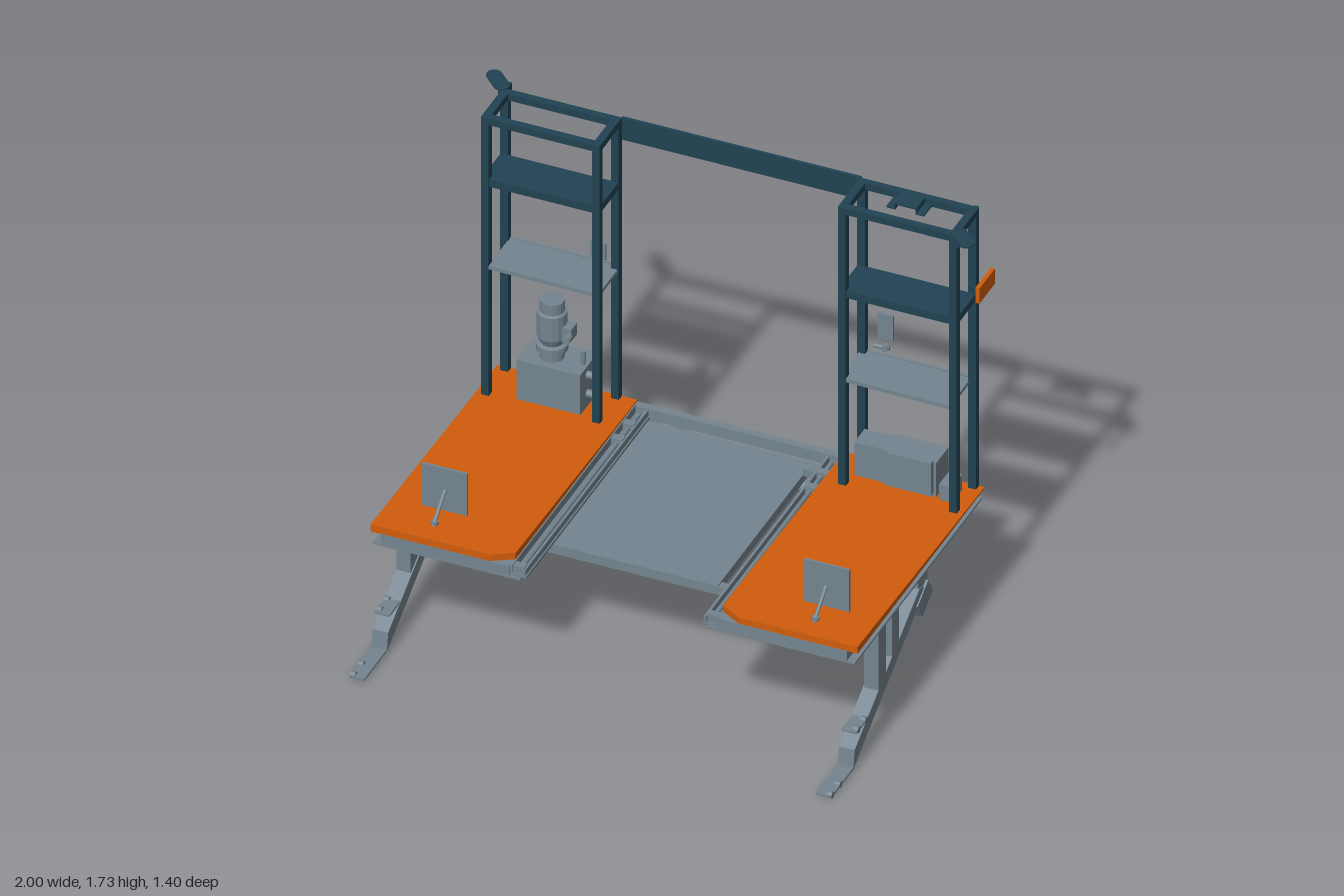
import * as THREE from 'three';

const mat = (name, color) => {
  const m = new THREE.MeshStandardMaterial({ color, side: THREE.DoubleSide });
  m.name = name;
  return m;
};

export function createModel() {
  const teal = mat('dark teal paint', 0x214252);
  const orange = mat('safety orange paint', 0xd05c0c);
  const steel = mat('grey steel', 0x74848f);
  const root = new THREE.Group();
  root.name = 'liftStation';

  const add = (name, geo, m, parent = root) => {
    const mesh = new THREE.Mesh(geo, m);
    mesh.name = name;
    parent.add(mesh);
    return mesh;
  };
  // box given by its limits on each axis
  const box = (name, m, x0, x1, y0, y1, z0, z1, parent = root) => {
    const b = add(name, new THREE.BoxGeometry(Math.abs(x1 - x0), y1 - y0, Math.abs(z1 - z0)), m, parent);
    b.position.set((x0 + x1) / 2, (y0 + y1) / 2, (z0 + z1) / 2);
    return b;
  };
  const cyl = (name, m, r, len, x, y, z, axis = 'y', parent = root) => {
    const c = add(name, new THREE.CylinderGeometry(r, r, len, 16), m, parent);
    c.position.set(x, y, z);
    if (axis === 'x') c.rotation.z = Math.PI / 2;
    if (axis === 'z') c.rotation.x = Math.PI / 2;
    return c;
  };
  // [z, y] outline pushed along x
  const sideProfile = (name, m, pts, x0, x1, parent = root) => {
    const shape = new THREE.Shape(pts.map(([z, y]) => new THREE.Vector2(-z, y)));
    const g = new THREE.ExtrudeGeometry(shape, { depth: x1 - x0, bevelEnabled: false });
    const p = add(name, g, m, parent);
    p.rotation.y = Math.PI / 2;
    p.position.x = x0;
    return p;
  };

  // central tray, frame and under-floor equipment
  box('centrePlate', steel, -0.36, 0.29, 0.445, 0.455, -0.6, 0.235);
  box('frontCrossBar', steel, -0.39, 0.39, 0.415, 0.45, 0.2, 0.233);
  box('rearCrossBar', steel, -0.39, 0.39, 0.415, 0.445, -0.6, -0.57);
  box('rearBeam', steel, -0.45, 0.45, 0.46, 0.505, -0.63, -0.6);
  box('trayEdge', steel, 0.27, 0.29, 0.42, 0.445, -0.6, 0.2);
  box('underFloorCabinet', steel, -0.345, -0.1, 0.32, 0.415, -0.545, 0.09);
  box('cabinetFlange', steel, -0.36, -0.08, 0.415, 0.445, -0.56, 0.16);
  cyl('driveMotor', steel, 0.025, 0.11, 0.25, 0.39, -0.54, 'x');
  box('driveGearbox', steel, 0.305, 0.355, 0.37, 0.415, -0.575, -0.505);
  cyl('driveShaft', steel, 0.014, 0.04, 0.365, 0.395, -0.54, 'x');
  box('driveTop', steel, 0.285, 0.34, 0.445, 0.475, -0.57, -0.52);

  for (const s of [-1, 1]) {
    const side = s < 0 ? 'right' : 'left';
    const half = new THREE.Group();
    half.name = side + 'Platform';
    root.add(half);
    const sb = (n, m, a, b, ...r) => box(n, m, s * a, s * b, ...r, half);

    // platform base and inner guide rail
    sb('platformFrame', steel, 0.405, 0.9, 0.465, 0.507, -0.63, 0.488);
    sb('bottomSheet', steel, 0.36, 0.93, 0.456, 0.464, -0.63, 0.488);
    sb('guideRailFloor', steel, 0.34, 0.405, 0.464, 0.475, -0.6, 0.48);
    sb('guideRailLip', steel, 0.345, 0.355, 0.475, 0.5, -0.6, 0.48);
    sb('guideRailWall', steel, 0.395, 0.405, 0.475, 0.507, -0.6, 0.48);
    cyl('guideRod', steel, 0.009, 1.04, s * 0.372, 0.488, -0.06, 'z', half);
    for (const z of [-0.5, -0.4, 0.46]) {
      sb('rodBearing', steel, 0.352, 0.394, 0.475, 0.505, z - 0.015, z + 0.015);
    }

    // orange deck: clipped inner front corner, rising toward the front
    const deckShape = new THREE.Shape([[0.4, 0.63], [0.94, 0.63], [0.94, -0.487], [0.48, -0.487], [0.4, -0.44]]
      .map(([x, y]) => new THREE.Vector2(s * x, y)));
    const deckGeo = new THREE.ExtrudeGeometry(deckShape, { depth: 0.03, bevelEnabled: false });
    deckGeo.rotateX(-Math.PI / 2);
    const p = deckGeo.attributes.position;
    for (let i = 0; i < p.count; i++) {
      const t = THREE.MathUtils.clamp((p.getZ(i) + 0.63) / 1.1, 0, 1);
      p.setY(i, p.getY(i) > 0.01 ? 0.511 + 0.024 * t : 0.506);
    }
    deckGeo.computeVertexNormals();
    add('deckCover', deckGeo, orange, half);

    // upright panel with its brace
    sb('uprightPanel', steel, 0.65, 0.825, 0.532, 0.712, 0.288, 0.298);
    const brace = cyl('panelBrace', steel, 0.007, 0.14, s * 0.735, 0.575, 0.35, 'y', half);
    brace.rotation.x = 2.27;
    cyl('braceFoot', steel, 0.014, 0.02, s * 0.735, 0.536, 0.39, 'y', half);

    // leg: two posts, diagonal strut, hinge block and feet
    const leg = new THREE.Group();
    leg.name = side + 'Leg';
    root.add(leg);
    const lb = (n, a, b, ...r) => box(n, steel, s * a, s * b, ...r, leg);
    lb('legFrontPost', 0.875, 0.93, 0.2, 0.456, 0.215, 0.28);
    lb('legRearPost', 0.875, 0.93, 0.27, 0.456, 0.1, 0.16);
    const x0 = s > 0 ? 0.87 : -0.93;
    sideProfile('legStrut', steel, [[0.5, 0.015], [0.49, 0.09], [-0.08, 0.42], [-0.13, 0.4], [-0.06, 0.345]], x0, x0 + 0.06, leg);
    const hinge = lb('hingeBlock', 0.865, 0.935, 0.315, 0.395, -0.175, -0.065);
    hinge.rotation.x = 0.55;
    lb('hingeMount', 0.88, 0.925, 0.395, 0.456, -0.16, -0.08);
    lb('footPlate', 0.872, 0.93, 0.014, 0.021, 0.49, 0.695);
    lb('stepPlate', 0.872, 0.93, 0.148, 0.155, 0.36, 0.475);
    for (const [y, z] of [[0.018, 0.61], [0.018, 0.68], [0.152, 0.385], [0.152, 0.45]]) {
      cyl('footPin', steel, 0.013, 0.02, s * 0.92, y, z, 'x', leg);
    }

    // tower frame
    const tower = new THREE.Group();
    tower.name = side + 'Tower';
    root.add(tower);
    const tb = (n, m, a, b, ...r) => box(n, m, s * a, s * b, ...r, tower);
    for (const x of [0.46, 0.888]) {
      for (const z of [-0.63, -0.462]) tb('towerPost', teal, x, x + 0.03, 0.508, 1.71, z, z + 0.028);
      tb('topSideRail', teal, x, x + 0.03, 1.682, 1.71, -0.602, -0.462);
    }
    for (const z of [-0.63, -0.462]) tb('topRail', teal, 0.49, 0.888, 1.682, 1.71, z, z + 0.028);
    const y = s < 0 ? 1.415 : 1.322;
    tb('upperShelf', teal, 0.462, 0.916, y, y + 0.03, -0.605, -0.437);
    const y2 = s < 0 ? 1.058 : 0.958;
    const shelf = tb('lowerShelf', steel, 0.465, 0.89, y2, y2 + 0.015, -0.625, -0.435);
    shelf.rotation.z = -0.012;
    tb('shelfLip', steel, 0.465, 0.89, y2 - 0.008, y2 + 0.02, -0.63, -0.622);

    // rear control plate and its handle
    tb('controlPlate', steel, 0.525, 0.585, 1.035, 1.143, -0.642, -0.634);
    tb('controlInset', steel, 0.54, 0.57, 1.055, 1.125, -0.647, -0.642);
    cyl('controlHandle', steel, 0.008, 0.06, s * 0.54, 1.0, -0.635, 'x', tower);
    cyl('handleKnob', steel, 0.013, 0.02, s * 0.555, 1.0, -0.635, 'z', tower);

    // flat rounded tab on the outer top corner
    const tz = s < 0 ? -0.645 : -0.435;
    tb('tabBlock', teal, 0.9, 0.935, 1.672, 1.715, tz - 0.02, tz + 0.02);
    const tab = new THREE.Group();
    tab.name = 'cornerTab';
    tower.add(tab);
    tab.position.set(s * 0.948, 1.72, s < 0 ? -0.652 : -0.42);
    tab.rotation.y = -Math.PI / 4;
    box('tabPlate', teal, -0.035, 0.035, -0.003, 0.003, -0.029, 0.029, tab);
    for (const e of [-1, 1]) cyl('tabEnd', teal, 0.029, 0.006, e * 0.035, 0, 0, 'y', tab);
  }

  // beam joining the towers
  box('headerBeam', teal, -0.462, 0.462, 1.615, 1.708, -0.642, -0.63);

  // top bracket and side sign on the left tower
  box('bracketTop', teal, 0.65, 0.735, 1.733, 1.739, -0.575, -0.495);
  for (const x of [0.62, 0.735]) box('bracketFlange', teal, x, x + 0.03, 1.712, 1.718, -0.575, -0.495);
  for (const x of [0.65, 0.732]) box('bracketWall', teal, x, x + 0.004, 1.712, 1.735, -0.575, -0.495);
  box('sidePlate', orange, 0.952, 0.968, 1.378, 1.443, -0.655, -0.52);
  box('rearTopPlate', teal, 0.9, 0.916, 1.62, 1.71, -0.636, -0.63);

  // pump unit in the right tower
  const pump = new THREE.Group();
  pump.name = 'pumpUnit';
  root.add(pump);
  box('pumpTank', steel, -0.79, -0.545, 0.511, 0.685, -0.61, -0.457, pump);
  const profile = [[0, 0.68], [0.045, 0.68], [0.045, 0.72], [0.058, 0.72], [0.058, 0.745], [0.042, 0.75],
    [0.055, 0.78], [0.055, 0.88], [0.045, 0.885], [0.045, 0.93], [0, 0.932]];
  const motor = add('pumpMotor', new THREE.LatheGeometry(profile.map(([r, h]) => new THREE.Vector2(r, h)), 16)
    .toNonIndexed(), steel, pump);
  motor.geometry.computeVertexNormals();
  motor.position.set(-0.685, 0, -0.53);
  box('motorTerminalBox', steel, -0.64, -0.6, 0.785, 0.835, -0.555, -0.505, pump);
  cyl('motorCableGland', steel, 0.015, 0.03, -0.605, 0.81, -0.48, 'z', pump);
  cyl('fillerPipe', steel, 0.01, 0.06, -0.565, 0.71, -0.53, 'y', pump);
  for (const y of [0.57, 0.65]) cyl('pumpValve', steel, 0.015, 0.04, -0.53, y, -0.52, 'x', pump);

  // control cabinets in the left tower
  box('controlCabinet', steel, 0.6, 0.81, 0.511, 0.66, -0.61, -0.5);
  box('cabinetDoor', steel, 0.63, 0.8, 0.53, 0.67, -0.5, -0.475);
  box('smallCabinet', steel, 0.49, 0.6, 0.511, 0.655, -0.6, -0.51);
  box('junctionBox', steel, 0.825, 0.875, 0.511, 0.58, -0.58, -0.49);
  return root;
}
